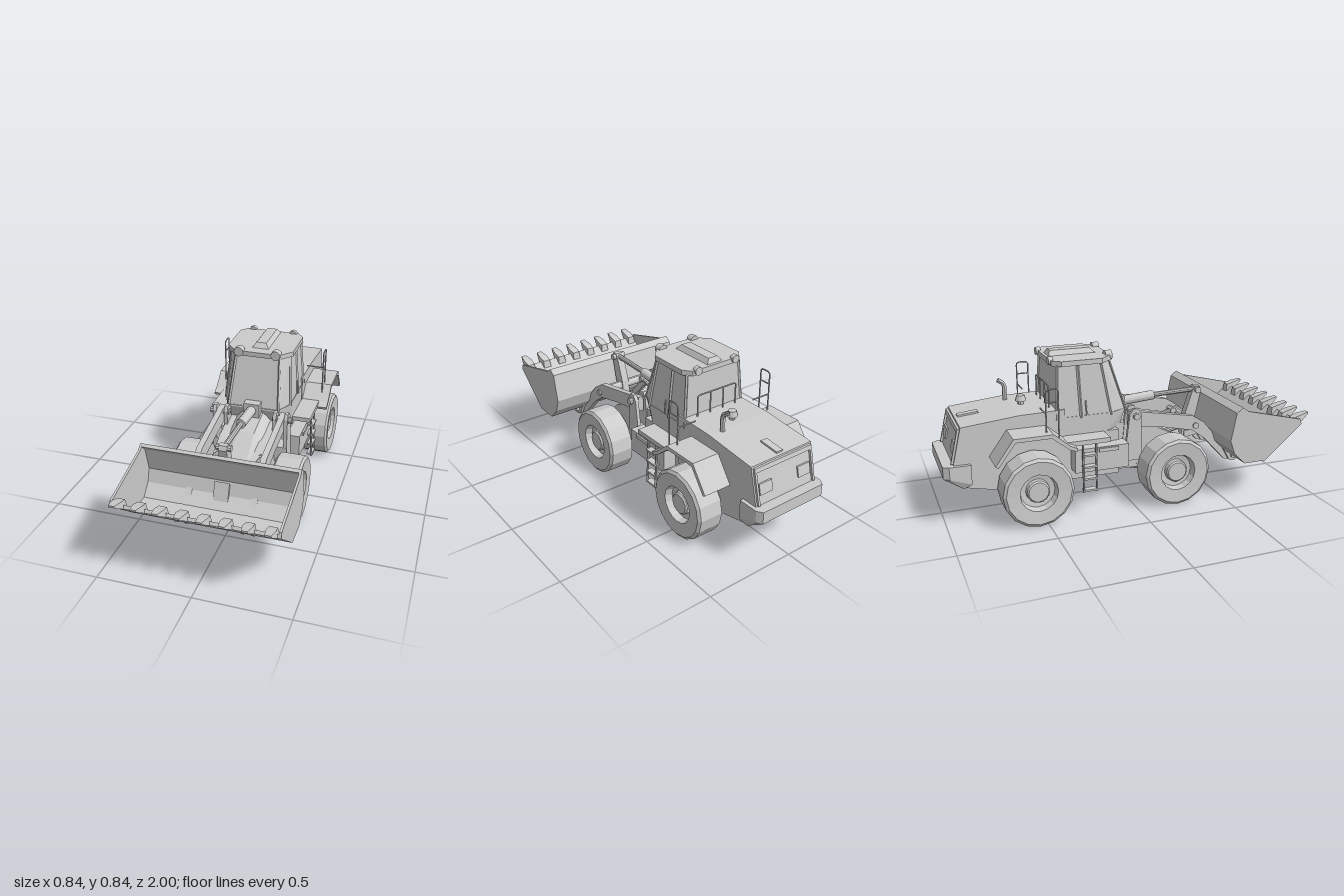
import * as THREE from 'three';
import { ConvexGeometry } from 'three/addons/geometries/ConvexGeometry.js';

export function createModel() {
  const model = new THREE.Group();
  model.name = 'wheelLoader';
  const mat = new THREE.MeshStandardMaterial({ color: 0xcccccc, flatShading: true, side: THREE.DoubleSide });
  const V = (x, y, z) => new THREE.Vector3(x, y, z);

  const add = (name, geo) => {
    const m = new THREE.Mesh(geo, mat);
    m.name = name;
    model.add(m);
    return m;
  };
  // side profile of [z, y] points, extruded from x0 to x1
  const slab = (name, pts, x0, x1) => {
    const s = new THREE.Shape(pts.map(([z, y]) => new THREE.Vector2(z, y)));
    const g = new THREE.ExtrudeGeometry(s, { depth: x1 - x0, bevelEnabled: false });
    return add(name, g.rotateY(-Math.PI / 2).translate(x1, 0, 0));
  };
  const mirrorSlab = (name, pts, x0, x1) => {
    slab(name, pts, x0, x1);
    slab(name, pts, -x1, -x0);
  };
  // box given by its limits
  const box = (name, x0, x1, y0, y1, z0, z1) =>
    add(name, new THREE.BoxGeometry(x1 - x0, y1 - y0, z1 - z0)
      .translate((x0 + x1) / 2, (y0 + y1) / 2, (z0 + z1) / 2));
  const mirrorBox = (name, x0, x1, ...rest) => {
    box(name, x0, x1, ...rest);
    box(name, -x1, -x0, ...rest);
  };
  // straight round bar between two points
  const rod = (name, a, b, r, sides = 10, r2 = r) => {
    const d = b.clone().sub(a);
    const m = add(name, new THREE.CylinderGeometry(r2, r, d.length(), sides));
    m.position.copy(a).addScaledVector(d, 0.5);
    m.quaternion.setFromUnitVectors(V(0, 1, 0), d.normalize());
    return m;
  };
  // convex solid, symmetric in x, from half its corners
  const hull = (name, pts, cx = 0) =>
    add(name, new ConvexGeometry(pts.flatMap(([x, y, z]) => [V(cx + x, y, z), V(cx - x, y, z)])));
  const pipe = (name, pts, r, n = 24) => {
    const path = new THREE.CatmullRomCurve3(pts, false, 'catmullrom', 0.1);
    return add(name, new THREE.TubeGeometry(path, n, r, 6));
  };

  // wheels with recessed rims and hubs
  const tyre = [[0, -0.04], [0.09, -0.04], [0.1, -0.07], [0.172, -0.0765], [0.187, -0.065], [0.187, 0.065],
    [0.172, 0.0765], [0.1, 0.07], [0.092, 0.03], [0.062, 0.025], [0.06, 0.05], [0.052, 0.058], [0, 0.058]]
    .map(p => new THREE.Vector2(...p));
  for (const z of [0.225, -0.548]) {
    for (const s of [1, -1]) {
      const w = add('wheel', new THREE.LatheGeometry(tyre, 16));
      w.rotation.z = -s * Math.PI / 2;
      w.position.set(s * 0.2775, 0.187, z);
    }
    rod('axle', V(-0.24, 0.187, z), V(0.24, 0.187, z), 0.045, 12);
  }

  // rear body, belly and counterweight
  slab('engineHood', [[-0.36, 0.565], [-0.60, 0.56], [-0.90, 0.53], [-0.95, 0.32], [-0.9, 0.21], [-0.72, 0.17],
    [-0.40, 0.17], [-0.36, 0.3]], -0.195, 0.195);
  box('centreFrame', -0.19, 0.19, 0.17, 0.42, -0.4, -0.06);
  box('articulationJoint', -0.11, 0.11, 0.17, 0.40, -0.1, 0.08);
  hull('rearBumper', [[0.215, 0.335, -0.86], [0.215, 0.335, -0.97], [0.195, 0.335, -1], [0.195, 0.27, -1],
    [0.215, 0.27, -0.97], [0.215, 0.23, -0.86], [0.2, 0.205, -0.9]]);
  // rear grille, lamps and hood fittings, following the sloped rear face
  const back = y => -0.90 - (0.53 - y) * 0.05 / 0.21;
  const plate = (name, x0, x1, y0, y1, t) =>
    slab(name, [[back(y0), y0], [back(y0) - t, y0], [back(y1) - t, y1], [back(y1), y1]], x0, x1);
  plate('rearTopLip', -0.185, 0.185, 0.50, 0.522, 0.012);
  for (const s of [1, -1]) {
    plate('rearSideLip', s * 0.18 - 0.006, s * 0.18 + 0.006, 0.34, 0.50, 0.012);
    plate('rearLamp', s * 0.125 - 0.04, s * 0.125 + 0.04, 0.385, 0.44, 0.008);
  }
  const vent = box('hoodVent', -0.02, 0.02, -0.006, 0.006, -0.055, 0.055);
  vent.position.set(0, 0.54, -0.83);
  vent.rotation.x = -0.1;
  rod('precleanerStem', V(0, 0.55, -0.545), V(0, 0.59, -0.545), 0.016);
  rod('precleanerCap', V(0, 0.58, -0.545), V(0, 0.61, -0.545), 0.03, 12, 0.022);
  pipe('exhaust', [V(0.115, 0.54, -0.605), V(0.115, 0.63, -0.605), V(0.115, 0.655, -0.615), V(0.115, 0.67, -0.64)], 0.013);

  // rear fenders, walkways and boxes
  mirrorSlab('rearFender', [[-0.34, 0.40], [-0.38, 0.42], [-0.465, 0.492], [-0.67, 0.492], [-0.765, 0.36],
    [-0.75, 0.35], [-0.66, 0.472], [-0.475, 0.472], [-0.385, 0.40], [-0.345, 0.385]], 0.19, 0.35);
  mirrorSlab('walkway', [[-0.145, 0.42], [-0.38, 0.42], [-0.36, 0.395], [-0.145, 0.395]], 0.18, 0.297);
  mirrorBox('sideTank', 0.18, 0.265, 0.23, 0.36, -0.33, -0.03);
  mirrorBox('tankLid', 0.2, 0.275, 0.335, 0.355, -0.2, -0.09);

  // ladders and handrails
  for (const s of [1, -1]) {
    for (const z of [-0.222, -0.294]) rod('ladderRail', V(s * 0.285, 0.4, z), V(s * 0.295, 0.13, z), 0.006, 6);
    for (const y of [0.135, 0.2, 0.265, 0.33]) box('ladderStep', s * 0.285 - 0.018, s * 0.285 + 0.018, y, y + 0.01, -0.294, -0.222);
    const x = s * 0.302;
    pipe('handrail', [V(x, 0.43, -0.425), V(x, 0.70, -0.425), V(x, 0.712, -0.437), V(x, 0.712, -0.478),
      V(x, 0.70, -0.49), V(x, 0.48, -0.49)], 0.004, 40);
    rod('handrailBar', V(x, 0.645, -0.425), V(x, 0.645, -0.49), 0.004, 6);
    rod('handrailBrace', V(s * 0.19, 0.587, -0.49), V(x, 0.587, -0.49), 0.004, 6);
  }
  pipe('rearWindowGuard', [V(-0.125, 0.55, -0.425), V(-0.125, 0.67, -0.425), V(-0.115, 0.68, -0.425),
    V(0.115, 0.68, -0.425), V(0.125, 0.67, -0.425), V(0.125, 0.55, -0.425)], 0.004, 40);
  for (const x of [-0.042, 0.042]) rod('guardBar', V(x, 0.55, -0.425), V(x, 0.68, -0.425), 0.004, 6);

  // cab: lower shell, glazed body, pillars and roof
  hull('cabBase', [[0.145, 0.52, -0.005], [0.192, 0.52, -0.1], [0.192, 0.52, -0.41],
    [0.13, 0.40, -0.04], [0.192, 0.40, -0.14], [0.192, 0.40, -0.41]]);
  const low = [[0.145, 0.51, -0.005], [0.19, 0.51, -0.1], [0.19, 0.51, -0.27], [0.19, 0.51, -0.405]];
  const high = [[0.125, 0.795, -0.095], [0.168, 0.795, -0.15], [0.168, 0.795, -0.28], [0.168, 0.795, -0.39]];
  hull('cabBody', [...low, ...high]);
  for (const s of [1, -1]) {
    low.forEach((p, i) => {
      const q = high[i];
      rod('cabPillar', V(s * p[0], p[1], p[2]), V(s * q[0], q[1], q[2]), 0.008, 4);
    });
    rod('workLamp', V(s * 0.105, 0.812, -0.11), V(s * 0.105, 0.812, -0.073), 0.027, 12);
    rod('rearWorkLamp', V(s * 0.12, 0.812, -0.40), V(s * 0.12, 0.812, -0.425), 0.022, 12);
    rod('doorHandle', V(s * 0.194, 0.52, -0.24), V(s * 0.19, 0.6, -0.245), 0.004, 6);
  }
  hull('roof', [0.79, 0.817].flatMap(y => [[0.125, y, -0.08], [0.187, y, -0.15], [0.187, y, -0.37], [0.15, y, -0.415]]));
  hull('roofHatch', [[0.048, 0.815, -0.14], [0.048, 0.815, -0.40], [0.028, 0.843, -0.165], [0.028, 0.843, -0.385]]);

  // front frame with faceted cover and belly
  slab('frontFrame', [[0.37, 0.17], [0.37, 0.25], [0.30, 0.33], [0.16, 0.40], [0.0, 0.44], [-0.06, 0.44],
    [-0.06, 0.17], [0.08, 0.17]], -0.145, 0.145);
  hull('frontCover', [[0.055, 0.49, -0.02], [0.12, 0.42, -0.02], [0.05, 0.44, 0.14], [0.12, 0.38, 0.14], [0.05, 0.33, 0.30], [0.1, 0.30, 0.30]]);
  slab('frontBelly', [[0.36, 0.19], [0.33, 0.12], [0.12, 0.12], [0.06, 0.19]], -0.15, 0.15);
  mirrorSlab('armTower', [[0.065, 0.3], [0.06, 0.5], [0.045, 0.53], [0.015, 0.53], [-0.005, 0.5], [-0.03, 0.3]], 0.195, 0.215);
  mirrorSlab('towerInner', [[0.065, 0.24], [0.06, 0.5], [0.045, 0.53], [0.015, 0.53], [-0.005, 0.5], [-0.03, 0.24]], 0.13, 0.15);
  mirrorBox('towerFoot', 0.13, 0.215, 0.24, 0.33, -0.03, 0.065);

  // lift arms, cylinders and pins
  mirrorSlab('liftArm', [[0.0, 0.515], [0.2, 0.478], [0.38, 0.445], [0.45, 0.40], [0.60, 0.225], [0.665, 0.2],
    [0.665, 0.17], [0.64, 0.15], [0.59, 0.16], [0.46, 0.30], [0.38, 0.36], [0.2, 0.40], [0.0, 0.43]], 0.16, 0.192);
  for (const s of [1, -1]) {
    rod('towerPin', V(s * 0.125, 0.49, 0.03), V(s * 0.235, 0.49, 0.03), 0.018);
    rod('bucketPin', V(s * 0.13, 0.187, 0.636), V(s * 0.23, 0.187, 0.636), 0.018);
    rod('liftCylinder', V(s * 0.12, 0.27, 0.0), V(s * 0.12, 0.345, 0.24), 0.026, 12);
    rod('liftPiston', V(s * 0.12, 0.345, 0.24), V(s * 0.12, 0.385, 0.4), 0.014);
    rod('liftPin', V(s * 0.1, 0.385, 0.4), V(s * 0.2, 0.385, 0.4), 0.018);
    rod('frontLamp', V(s * 0.105, 0.21, 0.34), V(s * 0.105, 0.21, 0.385), 0.027, 12);
  }
  rod('armCrossbar', V(-0.17, 0.37, 0.44), V(0.17, 0.37, 0.44), 0.025);
  // tilt lever, cylinder and link
  slab('tiltLever', [[0.505, 0.56], [0.475, 0.56], [0.46, 0.535], [0.415, 0.40], [0.395, 0.28], [0.42, 0.26],
    [0.445, 0.28], [0.485, 0.40], [0.515, 0.535]], -0.022, 0.022);
  rod('leverPin', V(-0.04, 0.54, 0.488), V(0.04, 0.54, 0.488), 0.018);
  rod('tiltPiston', V(0, 0.54, 0.488), V(0, 0.53, 0.19), 0.015);
  rod('tiltCylinder', V(0, 0.531, 0.22), V(0, 0.515, 0.01), 0.027, 12);
  slab('tiltLink', [[0.41, 0.30], [0.54, 0.31], [0.54, 0.275], [0.41, 0.26]], -0.03, 0.03);
  box('tiltMount', -0.045, 0.045, 0.43, 0.555, -0.03, 0.03);

  // bucket shell, side plates, lugs and teeth
  slab('bucketShell', [[0.94, 0.402], [0.72, 0.215], [0.59, 0.215], [0.525, 0.28], [0.498, 0.355], [0.528, 0.51],
    [0.565, 0.537], [0.58, 0.525], [0.545, 0.49], [0.515, 0.36], [0.54, 0.29], [0.60, 0.232], [0.713, 0.232], [0.93, 0.418]], -0.42, 0.42);
  mirrorSlab('bucketSide', [[0.94, 0.402], [0.72, 0.215], [0.59, 0.215], [0.525, 0.28], [0.498, 0.355],
    [0.528, 0.51], [0.565, 0.537], [0.60, 0.512], [0.93, 0.43]], 0.408, 0.42);
  mirrorSlab('bucketLug', [[0.72, 0.225], [0.665, 0.165], [0.64, 0.15], [0.612, 0.16], [0.57, 0.235]], 0.143, 0.158);
  mirrorSlab('bucketLug', [[0.72, 0.225], [0.665, 0.165], [0.64, 0.15], [0.612, 0.16], [0.57, 0.235]], 0.195, 0.213);
  slab('linkLug', [[0.53, 0.36], [0.51, 0.32], [0.52, 0.26], [0.58, 0.225]], -0.04, 0.04);
  for (let i = 0; i < 8; i++) {
    hull('bucketTooth', [[0.027, 0.365, 0.89], [0.02, 0.43, 0.90], [0.03, 0.405, 0.945], [0.024, 0.445, 0.945],
      [0.015, 0.445, 1.0], [0.015, 0.455, 1.0]], (i - 3.5) * 0.107);
  }
  return model;
}
